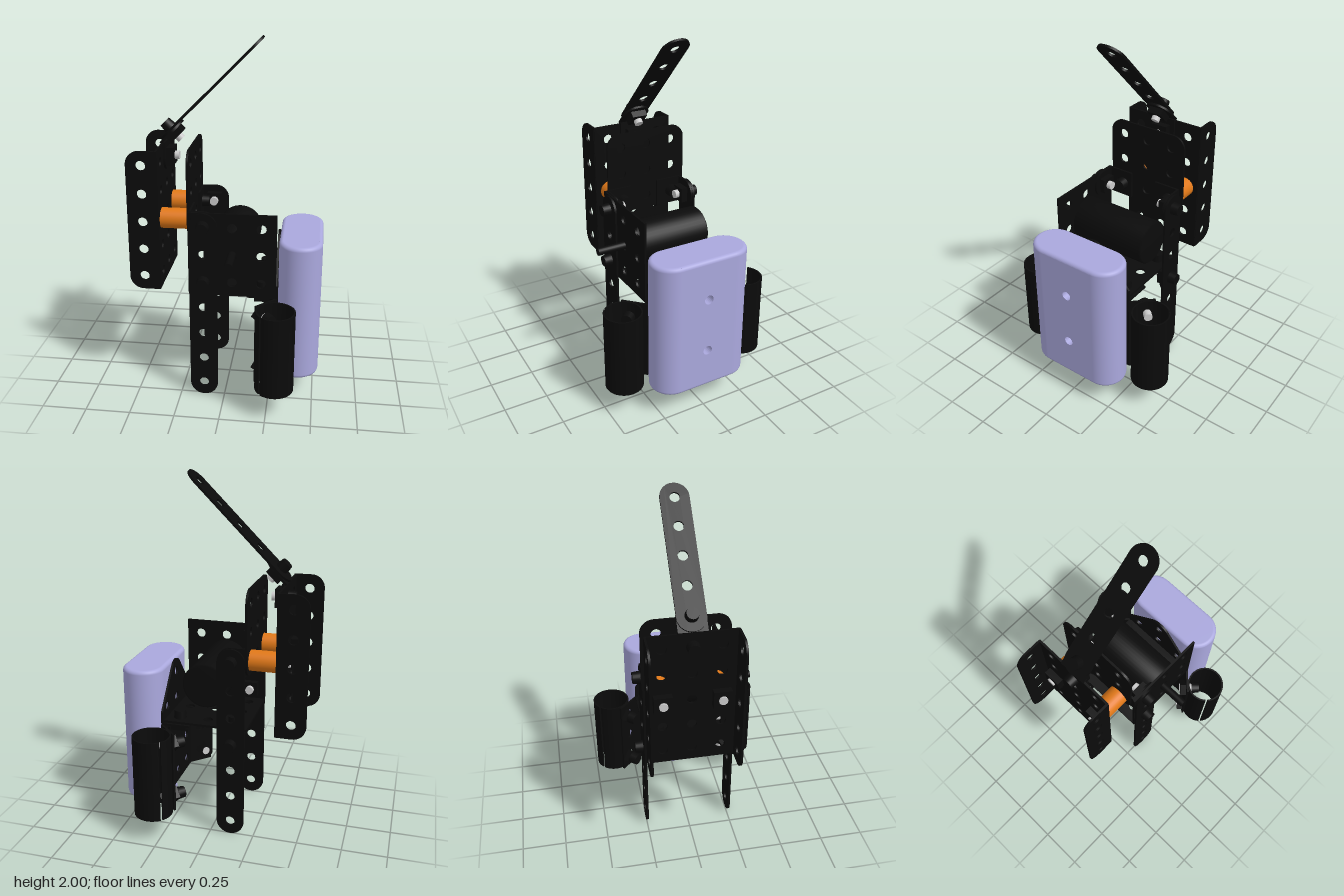
import * as THREE from 'three';

const PITCH = 0.158, T = 0.012, HOLE = 0.027;
const mat = (color, side = THREE.FrontSide) => new THREE.MeshStandardMaterial({ color, side });
const black = mat(0x0b0b0b), orange = mat(0xe07818), lavender = mat(0xaaa8dd), steel = mat(0xcccccc);

export function createModel() {
  const model = new THREE.Group();

  function add(name, geometry, material, x = 0, y = 0, z = 0, parent = model) {
    const m = new THREE.Mesh(geometry, material);
    m.name = name;
    m.position.set(x, y, z);
    parent.add(m);
    return m;
  }

  const circlePath = (x, y, r) => new THREE.Path().absarc(x, y, r, 0, Math.PI * 2, true);

  // Rounded rectangle; radii run bottom left, bottom right, top right, top left
  function roundRect(w, h, [bl, br, tr, tl]) {
    const s = new THREE.Shape(), X = w / 2, Y = h / 2, q = Math.PI / 2;
    s.moveTo(-X + bl, -Y);
    s.lineTo(X - br, -Y);
    if (br) s.absarc(X - br, -Y + br, br, -q, 0);
    s.lineTo(X, Y - tr);
    if (tr) s.absarc(X - tr, Y - tr, tr, 0, q);
    s.lineTo(-X + tl, Y);
    if (tl) s.absarc(-X + tl, Y - tl, tl, q, 2 * q);
    s.lineTo(-X, -Y + bl);
    if (bl) s.absarc(-X + bl, -Y + bl, bl, 2 * q, 3 * q);
    return s;
  }

  function sheet(shape, depth = T) {
    const g = new THREE.ExtrudeGeometry(shape, { depth, bevelEnabled: false, curveSegments: 12 });
    return g.translate(0, 0, -depth / 2);
  }

  // Perforated plate with a centred hole grid, facing along the given axis
  function plate(name, axis, [x, y, z], w, h, cols, rows, radii = [0, 0, 0, 0], parent = model) {
    const s = roundRect(w, h, radii);
    for (let i = 0; i < cols; i++)
      for (let j = 0; j < rows; j++)
        s.holes.push(circlePath((i - (cols - 1) / 2) * PITCH, (j - (rows - 1) / 2) * PITCH, HOLE));
    const m = add(name, sheet(s), black, x, y, z, parent);
    if (axis === 'x') m.rotation.y = Math.PI / 2;
    if (axis === 'y') m.rotation.x = -Math.PI / 2;
    return m;
  }

  // Bolt with its head on the dir side, nut and bare tip on the other
  function bolt([x, y, z], dir, grip = 0.03, nutSize = 0.1, tail = 0.065) {
    const g = new THREE.Group();
    g.name = 'bolt';
    g.position.set(x, y, z);
    g.quaternion.setFromUnitVectors(new THREE.Vector3(0, 1, 0), new THREE.Vector3(...dir).normalize());
    add('boltHead', new THREE.CylinderGeometry(0.032, 0.036, 0.045, 20), black, 0, 0.0225, 0, g);
    add('boltShaft', new THREE.CylinderGeometry(0.024, 0.024, grip + tail, 16), steel, 0, -(grip + tail) / 2, 0, g);
    add('nut', new THREE.BoxGeometry(nutSize, 0.04, nutSize), black, 0, -grip - 0.02, 0, g);
    model.add(g);
  }

  // Rear channel bracket
  const zc = -0.0175, R = 0.075, ROUND = [R, R, R, R], END = [0.077, 0.077, 0.077, 0.077];
  plate('channelBase', 'x', [-0.366, 1.035, zc], 0.485, 0.79, 3, 5);
  for (const z of [-0.257, 0.222])
    plate('channelFlange', 'z', [-0.448, 1.035, z], 0.165, 0.79, 1, 5, [R, 0, 0, R]);

  // Upright square plate with spacers between it and the channel
  plate('uprightPlate', 'x', [-0.2, 1.192, zc], 0.485, 0.475, 3, 3, ROUND);
  for (const z of [-0.175, 0.14]) {
    const s = add('spacer', new THREE.CylinderGeometry(0.057, 0.057, 0.155, 32), orange, -0.283, 1.035, z);
    s.rotation.z = Math.PI / 2;
    bolt([-0.185, 1.035, z], [1, 0, 0], 0.187, 0.1, 0.05);
  }

  // Slanted strip on its bent foot
  plate('stripFootTab', 'x', [-0.354, 1.355, -0.015], 0.155, 0.165, 1, 1, [R, R, 0, 0]);
  bolt([-0.372, 1.352, -0.015], [-1, 0, 0], 0.025);
  const slant = new THREE.Group();
  slant.name = 'slantedStrip';
  slant.position.set(-0.102, 1.722, -0.015);
  slant.rotation.z = -Math.PI / 4;
  model.add(slant);
  plate('strip', 'x', [0, 0, 0], 0.155, 0.79, 1, 5, END, slant);
  plate('stripFootSlope', 'x', [0.012, -0.316, 0], 0.155, 0.158, 1, 1, [0, 0, R, R], slant);
  bolt([-0.33, 1.505, -0.015], [-1, 1, 0], 0.022, 0.09);

  // Two legs and the body plates
  for (const z of [0.258, -0.247]) plate('leg', 'z', [-0.115, 0.557, z], 0.156, 1.106, 1, 7, END);
  plate('sidePlate', 'z', [0.042, 0.872, 0.245], 0.48, 0.476, 3, 3);
  plate('floorPlate', 'y', [0.042, 0.641, 0.012], 0.48, 0.475, 3, 3);

  // Angle brackets joining the legs to the upright and the floor
  for (const s of [1, -1]) {
    plate('angleTab', 'z', [-0.115, 1.035, s * 0.233], 0.156, 0.156, 1, 1, [0, R, R, 0]);
    plate('angleFlange', 'x', [-0.188, 1.035, s * 0.16], 0.156, 0.156, 1, 1);
    bolt([-0.115, 1.035, s > 0 ? 0.264 : -0.253], [0, 0, s], 0.03, 0.085);
  }
  plate('lowerAngleTab', 'z', [-0.115, 0.555, -0.235], 0.156, 0.156, 1, 1, [R, R, 0, 0]);
  plate('lowerAngleFlange', 'y', [-0.115, 0.629, -0.16], 0.156, 0.156, 1, 1);
  bolt([-0.115, 0.557, -0.253], [0, 0, -1], 0.025, 0.085);
  bolt([-0.115, 0.715, 0.264], [0, 0, 1], 0.025, 0.085);
  bolt([-0.115, 0.648, -0.16], [0, 1, 0], 0.025, 0.085, 0.05);

  // Motor lying across the body, shaft out through the side plate
  const can = [[0, -0.225], [0.115, -0.225], [0.125, -0.215], [0.125, 0.239], [0, 0.239]];
  const motor = add('motor', new THREE.LatheGeometry(can.map(p => new THREE.Vector2(...p)), 40), black, 0.04, 0.875, 0);
  motor.rotation.x = Math.PI / 2;
  const shaft = add('motorShaft', new THREE.CylinderGeometry(0.022, 0.022, 0.18, 20), black, 0.04, 0.875, 0.32);
  shaft.rotation.x = Math.PI / 2;

  // Tank mount: tapered back, floor flange and two wings bent outward
  const back = new THREE.Shape();
  back.moveTo(-0.24, 0.157);
  back.lineTo(0.24, 0.157);
  back.lineTo(0.24, 0.7);
  back.lineTo(0.06, 0.91);
  back.absarc(0, 0.86, 0.078, 0.7, Math.PI - 0.7);
  back.lineTo(-0.24, 0.7);
  for (const y of [0.23, 0.39, 0.55, 0.71])
    for (const z of [-PITCH, 0, PITCH]) back.holes.push(circlePath(z, y, HOLE));
  back.holes.push(circlePath(0, 0.865, HOLE));
  add('mountBack', sheet(back), black, 0.283, 0, 0).rotation.y = Math.PI / 2;
  plate('mountFlange', 'y', [0.205, 0.629, 0], 0.16, 0.48, 1, 3);
  for (const s of [1, -1]) {
    bolt([0.203, 0.648, s * 0.158], [0, 1, 0], 0.025, 0.085, 0.05);
    const wing = plate('mountWing', 'z', [0.233, 0.391, s * 0.292], 0.15, 0.47, 1, 3);
    wing.rotation.y = -s * Math.PI * 0.75;
    for (const y of [0.23, 0.547]) {
      if (s > 0) bolt([0.238, y, 0.328], [1, 0, 1], 0.03, 0.07, 0.045);
      else bolt([0.19, y, -0.285], [-1, 0, 1], 0.001, 0.07, 0.09);
    }

    // Split tube clamped to the wing
    const gap = -s * Math.PI * 0.75, a = gap + 0.06, b = gap + Math.PI * 2 - 0.06;
    const ring = new THREE.Shape();
    ring.absarc(0, 0, 0.107, a, b, false);
    ring.absarc(0, 0, 0.098, b, a, true);
    const g = new THREE.ExtrudeGeometry(ring, { depth: 0.47, bevelEnabled: false, curveSegments: 48 });
    add('splitTube', g, black, 0.291, 0.156, s * 0.39).rotation.x = -Math.PI / 2;
  }

  // Tank: pierced slab, rounded top and bottom edges, half-round ends
  const tank = new THREE.Group();
  tank.name = 'tank';
  tank.position.set(0.409, 0.55, 0);
  model.add(tank);
  const r = 0.118, H = 0.395, e = 0.022, half = 0.167;
  const slab = roundRect(half * 2, (H - e) * 2, [0, 0, 0, 0]);
  for (const y of [0.16, -0.16]) slab.holes.push(circlePath(0, y, HOLE));
  add('tankSlab', sheet(slab, r * 2), lavender, 0, 0, 0, tank).rotation.y = Math.PI / 2;
  const edge = new THREE.Shape();
  edge.moveTo(-r, H - e);
  edge.lineTo(r, H - e);
  edge.absarc(r - e, H - e, e, 0, Math.PI / 2);
  edge.lineTo(-r + e, H);
  edge.absarc(-r + e, H - e, e, Math.PI / 2, Math.PI);
  const profile = [new THREE.Vector2(0, -H)];
  for (const k of [-1, 1])
    for (let i = 0; i <= 6; i++) {
      const t = (k < 0 ? i - 6 : i) * Math.PI / 12;
      profile.push(new THREE.Vector2(r - e + e * Math.cos(t), k * (H - e) + e * Math.sin(t)));
    }
  profile.push(new THREE.Vector2(0, H));
  for (const s of [1, -1]) {
    add('tankEdge', sheet(edge, half * 2), lavender, 0, 0, 0, tank).rotation.z = s > 0 ? 0 : Math.PI;
    add('tankEnd', new THREE.LatheGeometry(profile, 24, s > 0 ? -Math.PI / 2 : Math.PI / 2, Math.PI),
      lavender, 0, 0, s * half, tank);
  }

  // Outlet spout under the tank
  const spout = new THREE.Shape().absarc(0, 0, 0.039, 0, Math.PI * 2);
  spout.holes.push(circlePath(0, 0, 0.02));
  add('spout', sheet(spout, 0.09), lavender, 0.33, 0.115, 0).rotation.x = Math.PI / 2;

  return model;
}
